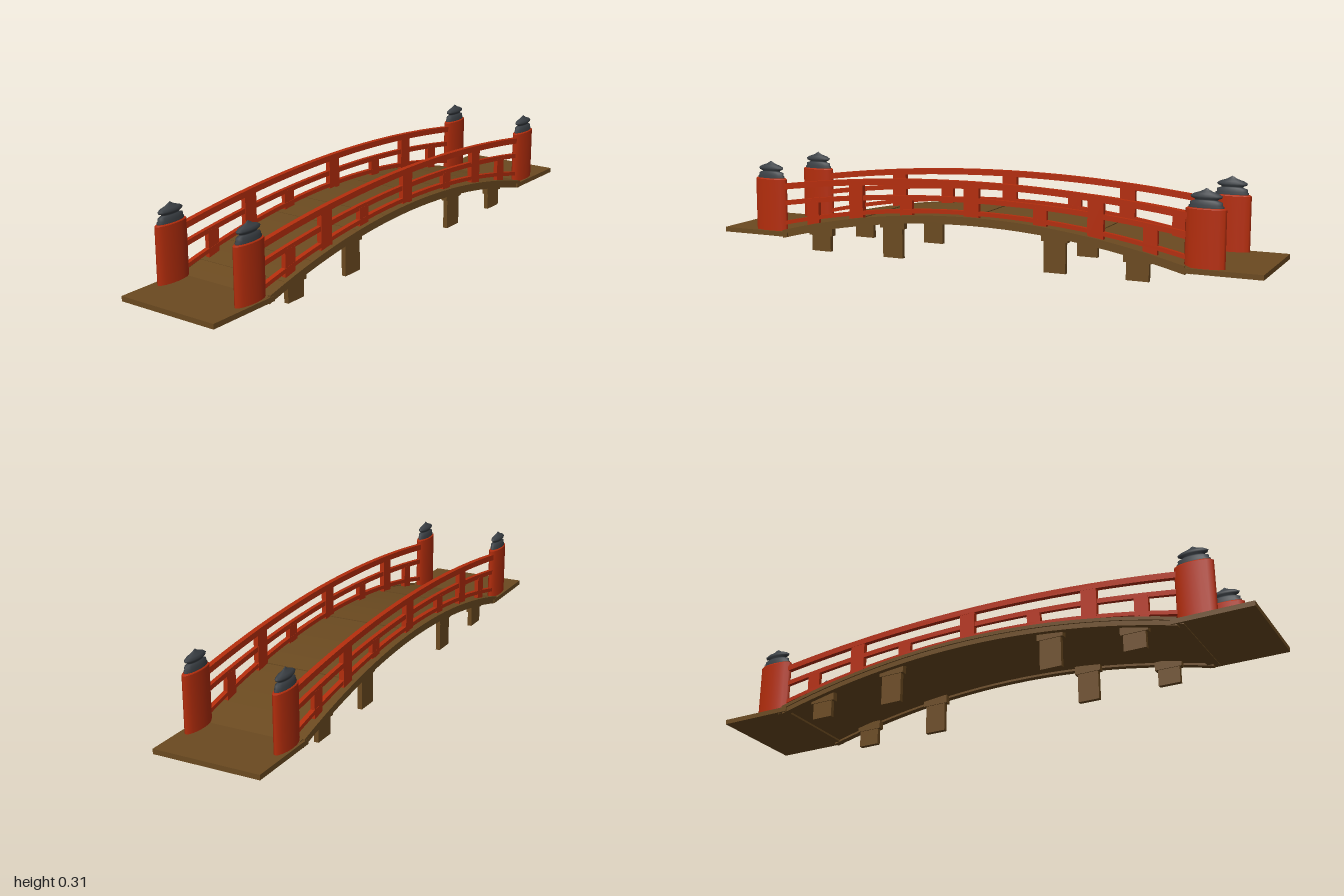
import * as THREE from 'three';

const wood = new THREE.MeshStandardMaterial({ name: 'brown wood', color: 0x6b4a20 });
const red = new THREE.MeshStandardMaterial({ name: 'red lacquer', color: 0xb42d0c });
const iron = new THREE.MeshStandardMaterial({ name: 'dark iron', color: 0x3a3f44 });

// Height of an arch at x
const archY = (x, crown, drop) => crown - drop * (x / 0.75) ** 2;
const deckY = (x) => archY(x, 0.166, 0.1);

// Solid that follows an arch from x0 to x1, centred on z
function arch(name, material, x0, x1, topY, thick, z, depth, steps) {
  const top = [], bottom = [];
  for (let i = 0; i <= steps; i++) {
    const x = x0 + (x1 - x0) * i / steps;
    top.push(new THREE.Vector2(x, topY(x)));
    bottom.unshift(new THREE.Vector2(x, topY(x) - thick));
  }
  const geo = new THREE.ExtrudeGeometry(new THREE.Shape([...bottom.reverse(), ...top.reverse()]),
    { depth, bevelEnabled: false });
  geo.translate(0, 0, z - depth / 2);
  const mesh = new THREE.Mesh(geo, material);
  mesh.name = name;
  return mesh;
}

function box(name, material, w, y0, y1, d, x, z) {
  const mesh = new THREE.Mesh(new THREE.BoxGeometry(w, y1 - y0, d), material);
  mesh.position.set(x, (y0 + y1) / 2, z);
  mesh.name = name;
  return mesh;
}

function lathe(name, material, points) {
  const profile = points.map(([r, y]) => new THREE.Vector2(r, y));
  const mesh = new THREE.Mesh(new THREE.LatheGeometry(profile, 16), material);
  mesh.name = name;
  return mesh;
}

// End post with an onion finial, stretched along the bridge
function endPost(x, z) {
  const post = new THREE.Group();
  post.name = 'endPost';
  post.add(lathe('postShaft', red, [[0, 0.055], [0.021, 0.055], [0.021, 0.055], [0.021, 0.249],
    [0.021, 0.249], [0.019, 0.253], [0, 0.253]]));
  post.add(lathe('finial', iron, [[0.018, 0.25], [0.018, 0.259], [0.0165, 0.261], [0.0165, 0.271],
    [0.012, 0.276], [0.0115, 0.279], [0.0155, 0.284], [0.0165, 0.29], [0.013, 0.297],
    [0.006, 0.304], [0.003, 0.309], [0, 0.315]]));
  post.scale.x = 3.15;
  post.position.set(x, 0, z);
  return post;
}

export function createModel() {
  const bridge = new THREE.Group();
  bridge.name = 'archedBridge';

  // Deck planks of uneven widths and slightly uneven heights
  const seams = [-0.77, -0.67, -0.54, -0.43, -0.3, -0.15, 0, 0.13, 0.26, 0.42, 0.51, 0.66, 0.77];
  for (let i = 0; i < seams.length - 1; i++) {
    const lift = (i % 3) * 0.0015;
    bridge.add(arch('deckPlank', wood, seams[i], seams[i + 1], (x) => deckY(x) + lift - 0.002,
      0.017 + lift, 0, 0.35, 2));
  }

  for (const side of [-1, 1]) {
    // Flat landing at each end
    bridge.add(box('landing', wood, 0.27, 0.045, 0.062, 0.368, side * 0.865, 0));

    // Edge beams: outer fascia and deeper girder beneath the deck
    bridge.add(arch('edgeBeam', wood, -0.75, 0.75, (x) => deckY(x) + 0.002, 0.012, side * 0.178, 0.011, 24));
    bridge.add(arch('girder', wood, -0.75, 0.75, (x) => deckY(x) - 0.009, 0.018, side * 0.168, 0.022, 24));

    // Three arched rails
    const z = side * 0.156;
    const topRail = (x) => archY(x, 0.287, 0.052);
    const midRail = (x) => archY(x, 0.231, 0.058);
    const lowRail = (x) => archY(x, 0.186, 0.087);
    bridge.add(arch('topRail', red, -0.78, 0.78, topRail, 0.021, z, 0.018, 24));
    bridge.add(arch('middleRail', red, -0.78, 0.78, midRail, 0.017, z, 0.014, 24));
    bridge.add(arch('lowerRail', red, -0.78, 0.78, lowRail, 0.014, z, 0.016, 24));

    // Tall balusters reach the top rail, short ones the middle rail
    for (const x of [-0.45, 0, 0.445])
      bridge.add(box('tallBaluster', red, 0.055, deckY(x) - 0.005, topRail(x) - 0.012, 0.017, x, z));
    for (const x of [-0.63, -0.25, 0.25, 0.63])
      bridge.add(box('shortBaluster', red, 0.048, deckY(x) - 0.005, midRail(x) - 0.01, 0.015, x, z));

    for (const x of [-0.81, 0.807]) bridge.add(endPost(x, z));

    // Legs with a wider cap under the deck
    for (const x of [-0.6, -0.307, 0.302, 0.588]) {
      const y = deckY(x) - 0.015;
      bridge.add(box('leg', wood, 0.077, 0, y, 0.016, x, side * 0.151));
      bridge.add(box('legCap', wood, 0.095, y - 0.03, y, 0.022, x, side * 0.151));
    }
  }
  return bridge;
}
